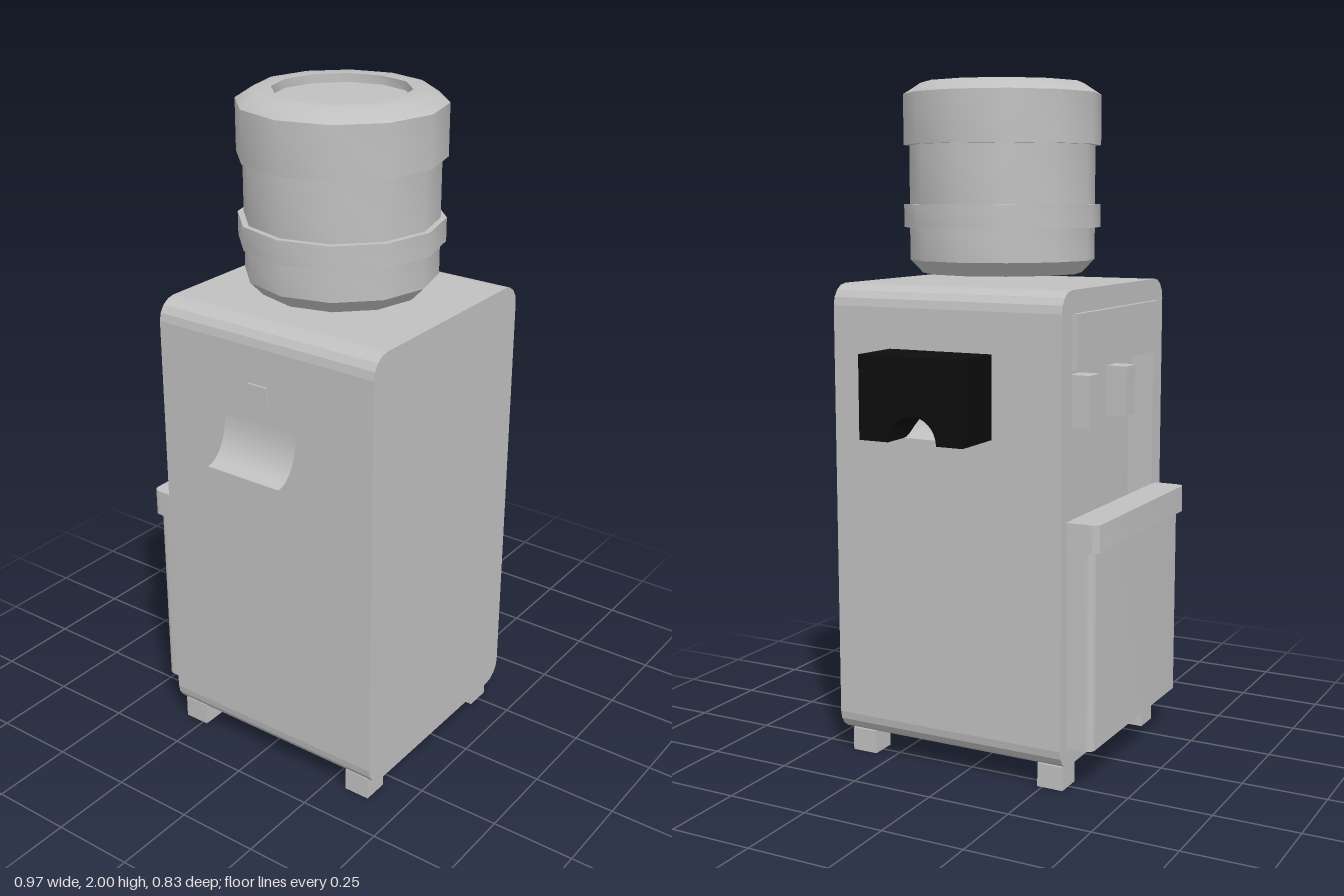
import * as THREE from 'three';
import { toCreasedNormals } from 'three/addons/utils/BufferGeometryUtils.js';

export function createModel() {
  const root = new THREE.Group();
  const grey = new THREE.MeshStandardMaterial({ color: 0xc0c0c0 });
  grey.name = 'casing grey';
  const black = new THREE.MeshStandardMaterial({ color: 0x0d0d0d });
  black.name = 'holder black';
  const ramp = new THREE.MeshStandardMaterial({ color: 0xc0c0c0, side: THREE.DoubleSide });
  ramp.name = 'sheet grey';
  const CX = -0.042; // centre line of the cabinet

  const add = (name, geometry, material = grey) => {
    const mesh = new THREE.Mesh(geometry, material);
    mesh.name = name;
    root.add(mesh);
    return mesh;
  };
  // Box given by its limits on each axis
  const box = (name, x0, x1, y0, y1, z0, z1) =>
    add(name, new THREE.BoxGeometry(x1 - x0, y1 - y0, z1 - z0)
      .translate((x0 + x1) / 2, (y0 + y1) / 2, (z0 + z1) / 2));
  const extrude = (shape, depth, curveSegments) =>
    new THREE.ExtrudeGeometry(shape, { depth, curveSegments, bevelEnabled: false });

  // Cabinet: solid main block plus a rear frame around the tap recess
  const outline = () => {
    const x0 = -0.404, x1 = 0.32, y0 = 0.065, y1 = 1.42, r = 0.062;
    const s = new THREE.Shape();
    s.absarc(x1 - r, y0 + r, r, -Math.PI / 2, 0);
    s.absarc(x1 - r, y1 - r, r, 0, Math.PI / 2);
    s.absarc(x0 + r, y1 - r, r, Math.PI / 2, Math.PI);
    s.absarc(x0 + r, y0 + r, r, Math.PI, Math.PI * 1.5);
    return s;
  };
  const recessZ = -0.24;
  add('cabinet', extrude(outline(), 0.415 - recessZ, 2).translate(0, 0, recessZ));
  const frame = outline();
  frame.holes.push(new THREE.Path([
    [-0.335, 0.6], [-0.335, 1.355], [0.253, 1.355], [0.253, 0.6],
  ].map(p => new THREE.Vector2(...p))));
  add('rearFrame', extrude(frame, recessZ + 0.32, 2).translate(0, 0, -0.32));

  // Control panel, backing plate and taps
  box('controlPanel', -0.335, 0.253, 1.2, 1.355, -0.335, recessZ);
  box('tapBacking', -0.335, 0.253, 1.04, 1.2, -0.25, recessZ);
  for (const side of [-1, 1]) {
    const x = CX + side * 0.13;
    box('tap', x - 0.035, x + 0.035, 1.02, 1.17, -0.315, -0.25);
  }

  // Rear door and its overhanging lip, rounded at the outer corners
  const slab = (name, x0, x1, y0, y1, back, out, r) => {
    const s = new THREE.Shape();
    s.moveTo(x0, back);
    s.lineTo(x1, back);
    s.absarc(x1 - r, out - r, r, 0, Math.PI / 2);
    s.absarc(x0 + r, out - r, r, Math.PI / 2, Math.PI);
    const g = extrude(s, y1 - y0, 4).rotateX(-Math.PI / 2).translate(0, y0, 0);
    add(name, toCreasedNormals(g, 0.6));
  };
  slab('door', -0.362, 0.278, 0.125, 0.7, 0.318, 0.4, 0.02);
  slab('doorLip', -0.368, 0.285, 0.7, 0.78, 0.318, 0.417, 0.02);

  // Feet
  for (const x of [-0.375, 0.21])
    for (const z of [-0.315, 0.31]) box('foot', x, x + 0.08, 0, 0.07, z, z + 0.08);

  // Bottle: twelve-sided, with two raised bands and a sunken end
  const profile = [
    [0, 1.445], [0.238, 1.445], [0.276, 1.485], [0.276, 1.58], [0.293, 1.58],
    [0.293, 1.648], [0.276, 1.648], [0.276, 1.82], [0.293, 1.82], [0.293, 1.967],
    [0.242, 2], [0.193, 2], [0.193, 1.975], [0, 1.975],
  ].map(p => new THREE.Vector2(...p));
  add('bottle', toCreasedNormals(new THREE.LatheGeometry(profile, 12), 0.65))
    .position.set(CX, 0, 0.05);

  // Cup holder with an arched slot at the bottom
  const holder = new THREE.Shape();
  holder.moveTo(0.105, 1);
  holder.lineTo(0.105, 1.24);
  holder.lineTo(-0.225, 1.24);
  holder.lineTo(-0.225, 1);
  holder.absarc(-0.055, 1, 0.077, Math.PI, 0, true);
  add('cupHolder', extrude(holder, 0.165, 12).rotateY(Math.PI / 2).translate(0.32, 0, 0), black);

  // Curved scoops on both side walls
  for (const side of [-1, 1]) {
    const g = new THREE.PlaneGeometry(1, 0.25, 8, 1);
    const p = g.attributes.position;
    for (let i = 0; i < p.count; i++) {
      const t = p.getX(i) + 0.5;
      const a = t * Math.PI / 2;
      p.setXYZ(i, CX + side * (0.362 + 0.08 * (1 - Math.cos(a))),
        1.13 - 0.13 * Math.sin(a), 0.035 + p.getY(i));
    }
    if (side > 0) g.index.array.reverse();
    // Upper side faces outward
    g.index.array.reverse();
    g.computeVertexNormals();
    add('sideScoop', g, ramp);
  }

  // Small catch on the side wall
  box('sideCatch', -0.41, -0.4, 1.18, 1.25, 0, 0.065);

  return root;
}
